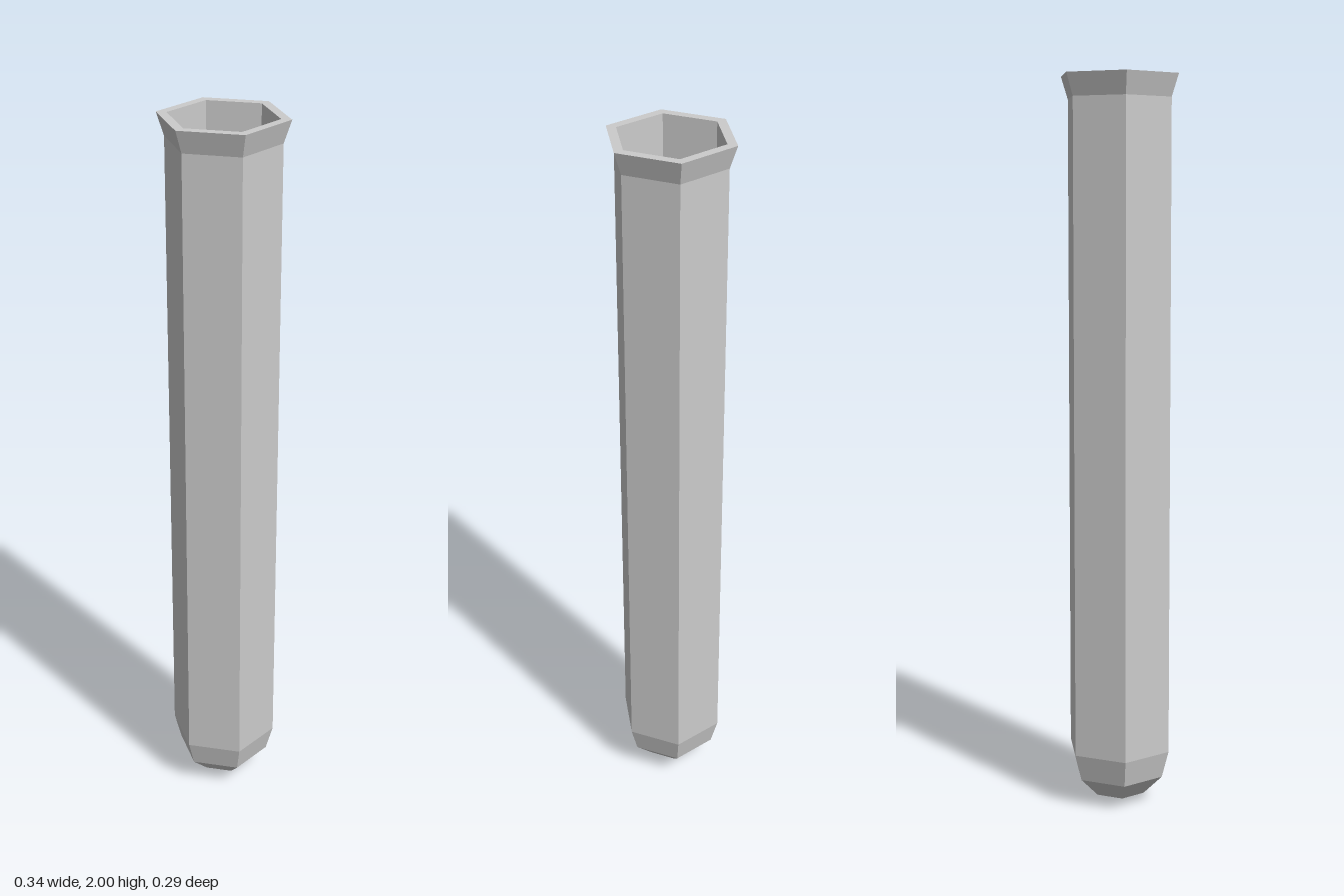
import * as THREE from 'three';

const SIDES = 6;
const BODY_RADIUS = 0.15, BORE_RADIUS = 0.143, RIM_RADIUS = 0.17;
const DOME_Y = 0.155, FLARE_Y = 1.94, TOP_Y = 2;

// Six-sided surface of revolution with corners on the x axis
function hexLathe(name, points, material) {
  const profile = points.map(([r, y]) => new THREE.Vector2(r, y));
  const mesh = new THREE.Mesh(new THREE.LatheGeometry(profile, SIDES, Math.PI / 6), material);
  mesh.name = name;
  return mesh;
}

export function createModel() {
  const group = new THREE.Group();
  group.name = 'testTube';
  const material = new THREE.MeshStandardMaterial({ color: 0xcccccc, flatShading: true });

  // Faceted dome closing the bottom
  group.add(hexLathe('roundedBottom', [
    [0, 0.003], [0.075, 0.025], [0.13, 0.08], [BODY_RADIUS, DOME_Y],
  ], material));

  // Long straight wall
  group.add(hexLathe('outerWall', [[BODY_RADIUS, DOME_Y], [BODY_RADIUS, FLARE_Y]], material));

  // Flared lip with its flat top
  group.add(hexLathe('rim', [
    [BODY_RADIUS, FLARE_Y], [RIM_RADIUS, TOP_Y], [BORE_RADIUS, TOP_Y],
  ], material));

  // Straight bore, facing inward, with a flat floor
  group.add(hexLathe('bore', [[BORE_RADIUS, TOP_Y], [BORE_RADIUS, DOME_Y], [0, DOME_Y]], material));

  return group;
}
